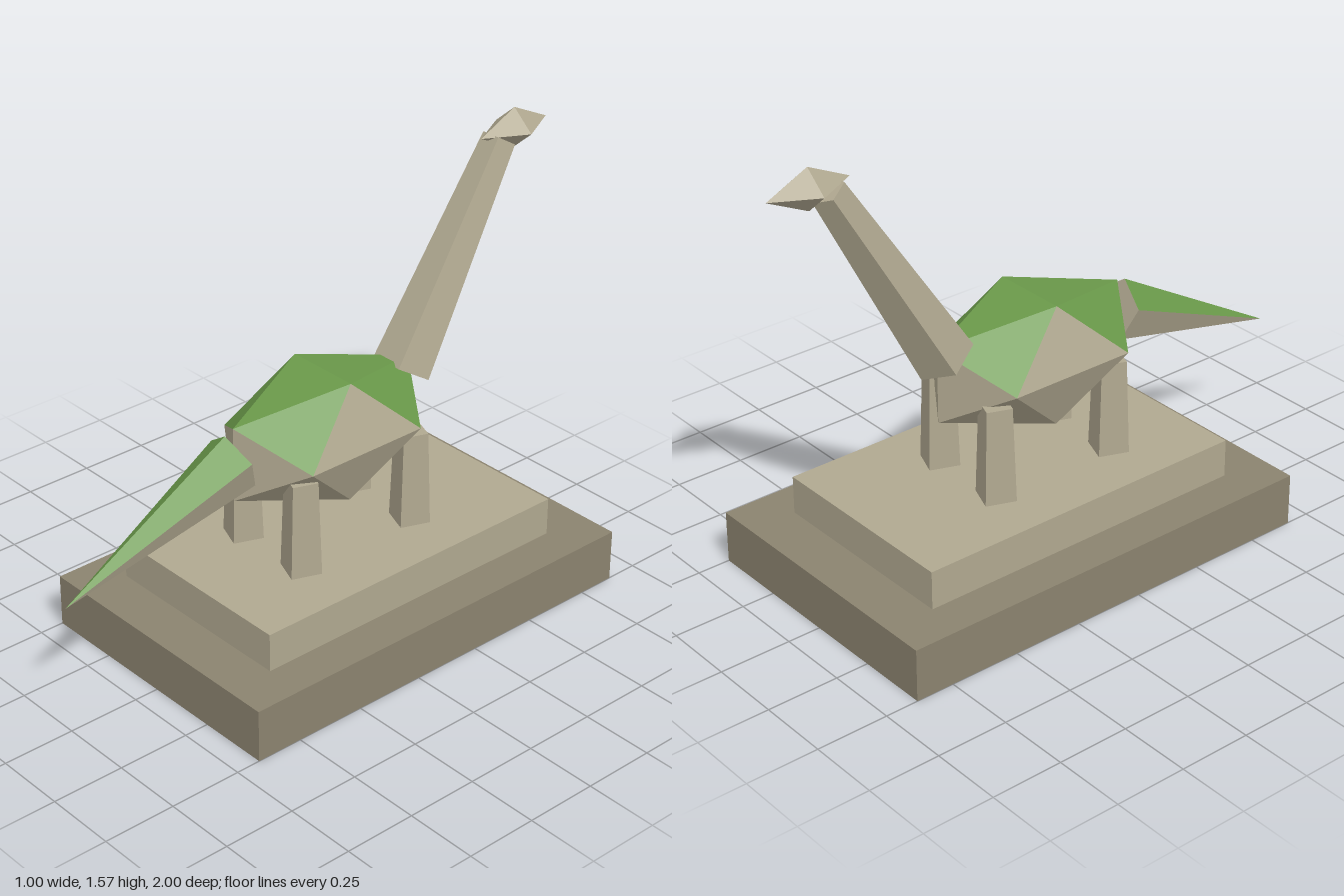
import * as THREE from 'three';

const paint = (color) => new THREE.MeshStandardMaterial({ color, flatShading: true });

export function createModel() {
  const model = new THREE.Group();
  const stone = paint(0xb0a890);
  const darkStone = paint(0x8b836f);
  const green = paint(0x6a994a);

  function add(name, geometry, material, x = 0, y = 0, z = 0) {
    const mesh = new THREE.Mesh(geometry, material);
    mesh.name = name;
    mesh.position.set(x, y, z);
    model.add(mesh);
    return mesh;
  }

  // Five-sided tapered limb in the yz plane, from one end to the other
  function taper(y0, z0, r0, y1, z1, r1) {
    const length = Math.hypot(y1 - y0, z1 - z0);
    return new THREE.CylinderGeometry(r1, r0, length, 5, 1, false, Math.PI)
      .rotateX(Math.atan2(z1 - z0, y1 - y0))
      .translate(0, (y0 + y1) / 2, (z0 + z1) / 2);
  }

  // Faces that look upward become green, the others stay stone
  function addTwoTone(name, geometry) {
    const flat = geometry.index ? geometry.toNonIndexed() : geometry;
    const pos = flat.attributes.position;
    const upper = [], lower = [];
    const tri = new THREE.Triangle(), normal = new THREE.Vector3();
    for (let i = 0; i < pos.count; i += 3) {
      tri.setFromAttributeAndIndices(pos, i, i + 1, i + 2);
      if (tri.getArea() < 1e-7) continue;
      const target = tri.getNormal(normal).y > 0.5 ? upper : lower;
      target.push(tri.a.clone(), tri.b.clone(), tri.c.clone());
    }
    for (const [suffix, points, material] of [['Back', upper, green], ['Underside', lower, stone]]) {
      const part = new THREE.BufferGeometry().setFromPoints(points);
      part.computeVertexNormals();
      add(name + suffix, part, material);
    }
  }

  // Stepped plinth
  add('lowerPlinth', new THREE.BoxGeometry(1, 0.182, 1.55), darkStone, 0, 0.091, -0.11);
  add('upperPlinth', new THREE.BoxGeometry(0.72, 0.135, 1.215), stone, 0, 0.2475, -0.1075);

  // Faceted body and tail
  addTwoTone('body', new THREE.IcosahedronGeometry(1, 0)
    .scale(0.253, 0.247, 0.434).translate(-0.005, 0.69, -0.037));
  addTwoTone('tail', taper(0.713, 0.331, 0.104, 0.45, 1, 0));

  // Neck and head
  add('neck', taper(0.785, -0.377, 0.102, 1.475, -0.79, 0.058), stone);
  add('head', new THREE.OctahedronGeometry(1, 0).scale(0.08, 0.07, 0.147), stone, 0, 1.495, -0.853);

  // Four square legs, all turned the same way
  for (const x of [-0.145, 0.14]) {
    for (const [name, z] of [['hindLeg', 0.18], ['frontLeg', -0.29]]) {
      const leg = add(name, new THREE.CylinderGeometry(0.06, 0.073, 0.335, 4), stone, x, 0.4775, z);
      leg.rotation.y = THREE.MathUtils.degToRad(24);
    }
  }

  return model;
}
